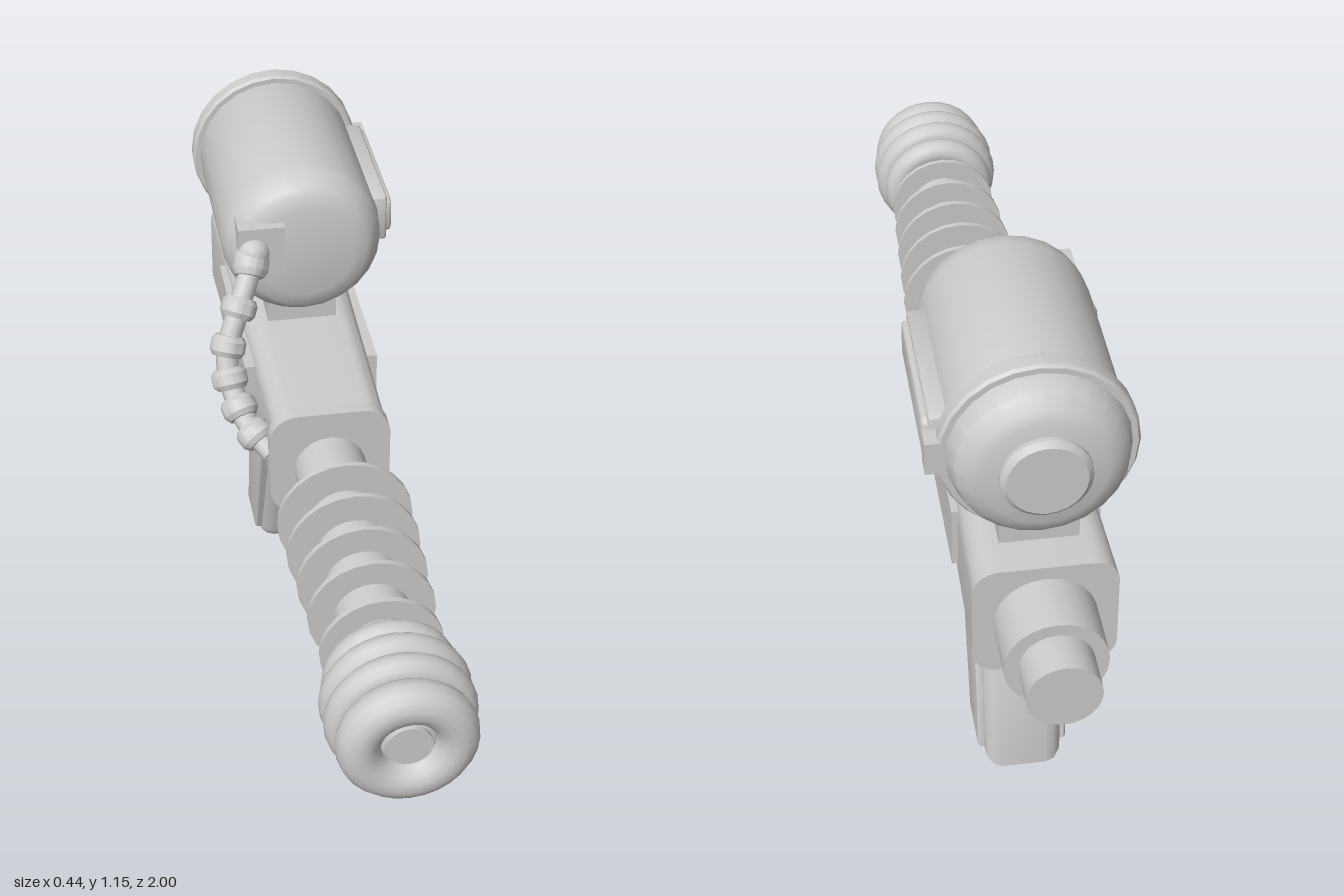
import * as THREE from 'three';
import { toCreasedNormals } from 'three/addons/utils/BufferGeometryUtils.js';

const metal = new THREE.MeshStandardMaterial({ color: 0xcccccc });
metal.name = 'light grey metal';

const V = (x, y, z) => new THREE.Vector3(x, y, z);

export function createModel() {
  const model = new THREE.Group();
  model.name = 'rayBlaster';
  const gun = new THREE.Group();
  gun.name = 'blaster';
  gun.position.x = 0.013;
  model.add(gun);

  function add(name, geo, x = 0, y = 0, z = 0) {
    const m = new THREE.Mesh(geo, metal);
    m.name = name;
    m.position.set(x, y, z);
    gun.add(m);
    return m;
  }
  // Turned part along z: profile of [radius, z] with z rising
  function turned(name, profile, y, seg = 24) {
    const g = new THREE.LatheGeometry(profile.map((p) => new THREE.Vector2(p[0], p[1])), seg);
    g.rotateX(Math.PI / 2);
    return add(name, toCreasedNormals(g, 0.5), 0, y, 0);
  }
  const disc = (name, r, z0, z1, y) => turned(name, [[0, z0], [r, z0], [r, z1], [0, z1]], y);
  const box = (name, w, h, d, x, y, z) => add(name, new THREE.BoxGeometry(w, h, d), x, y, z);

  // Rounded rectangle outline
  function roundedRect(w, h, r) {
    const s = new THREE.Shape();
    s.absarc(w - r, h - r, r, 0, Math.PI / 2);
    s.absarc(-w + r, h - r, r, Math.PI / 2, Math.PI);
    s.absarc(-w + r, -h + r, r, Math.PI, Math.PI * 1.5);
    s.absarc(w - r, -h + r, r, Math.PI * 1.5, Math.PI * 2);
    return s;
  }
  // Side outline given as [distance back, height], extruded across x
  function sidePlate(name, shape, width, bevel, x) {
    const g = new THREE.ExtrudeGeometry(shape, {
      depth: width - 2 * bevel, bevelEnabled: bevel > 0, bevelSize: bevel, bevelThickness: bevel,
      bevelOffset: -bevel, bevelSegments: 3, curveSegments: 6,
    });
    g.translate(0, 0, -(width - 2 * bevel) / 2);
    g.rotateY(Math.PI / 2);
    return add(name, toCreasedNormals(g, 0.6), x);
  }
  const outline = (pts) => new THREE.Shape(pts.map((p) => new THREE.Vector2(p[0], p[1])));

  // Receiver body, widening slightly toward the back
  const body = new THREE.ExtrudeGeometry(roundedRect(0.122, 0.116, 0.045), { depth: 0.89, bevelEnabled: false, curveSegments: 4 });
  const p = body.attributes.position;
  for (let i = 0; i < p.count; i++) {
    const t = 1 - p.getZ(i) / 0.89;
    p.setX(i, p.getX(i) * (1 + 0.15 * t));
    p.setY(i, p.getY(i) * (1 + 0.08 * t));
  }
  add('body', toCreasedNormals(body, 0.6), 0, 0.635, -0.79);
  const collar = new THREE.ExtrudeGeometry(roundedRect(0.13, 0.125, 0.06), { depth: 0.03, bevelEnabled: false, curveSegments: 4 });
  add('frontCollar', toCreasedNormals(collar, 0.6), 0, 0.628, 0.09);
  const chin = new THREE.ExtrudeGeometry(roundedRect(0.115, 0.06, 0.04), { depth: 0.105, bevelEnabled: false, curveSegments: 4 });
  add('frontChin', toCreasedNormals(chin, 0.6), 0, 0.555, 0.01);
  for (const s of [1, -1]) box('bodyPanel', 0.036, 0.135, 0.43, s * 0.13, 0.652, -0.345);

  // Stepped rear plug
  disc('rearPlug', 0.1, -0.915, -0.78, 0.633);
  disc('rearCap', 0.072, -1, -0.91, 0.635);

  // Barrel and cooling fins
  disc('barrel', 0.077, 0.08, 0.95, 0.615);
  [[0.3, 0.142], [0.4, 0.138], [0.5, 0.133], [0.6, 0.128], [0.705, 0.122]].forEach(([z, r]) =>
    disc('coolingFin', r, z - 0.006, z + 0.006, 0.615));

  // Ringed muzzle
  [[0.785, 0.132, 0.03], [0.84, 0.147, 0.031], [0.895, 0.147, 0.031], [0.957, 0.136, 0.043]].forEach(([z, r, t]) =>
    add('muzzleRing', new THREE.TorusGeometry(r - t, t, 14, 28), 0, 0.615, z));
  disc('muzzleSleeve', 0.11, 0.77, 0.94, 0.615);
  turned('nozzle', [[0.058, 0.93], [0.058, 0.962], [0.044, 0.968], [0.044, 0.978], [0, 0.978]], 0.615);

  // Tank on top
  turned('tank', [[0, -0.765], [0.115, -0.765], [0.14, -0.755], [0.163, -0.73], [0.175, -0.69], [0.176, -0.27],
    [0.17, -0.235], [0.15, -0.205], [0.137, -0.195], [0.107, -0.187], [0, -0.187]], 0.965);
  turned('tankBand', [[0.17, -0.692], [0.186, -0.692], [0.191, -0.685], [0.191, -0.655], [0.186, -0.648], [0.17, -0.648]], 0.965);
  turned('tankRearCap', [[0, -0.785], [0.076, -0.785], [0.087, -0.775], [0.087, -0.75]], 0.965);
  box('tankBandLatch', 0.04, 0.07, 0.044, 0.192, 0.965, -0.67);
  sidePlate('tankPlate', roundedRect(0.173, 0.056, 0.012), 0.05, 0.006, 0.173).position.set(0.173, 0.968, -0.47);
  sidePlate('tankPlateInset', roundedRect(0.165, 0.041, 0.018), 0.04, 0.007, 0).position.set(0.19, 0.968, -0.47);
  box('tankMount', 0.154, 0.1, 0.075, 0, 0.78, -0.29);
  box('tankMount', 0.154, 0.1, 0.075, 0, 0.78, -0.67);

  // Segmented hose from tank to body
  box('hoseBracket', 0.1, 0.11, 0.07, -0.1, 0.99, -0.202);
  const path = new THREE.CatmullRomCurve3([
    V(-0.118, 0.985, -0.185), V(-0.13, 0.95, -0.155), V(-0.163, 0.88, -0.11), V(-0.193, 0.8, -0.07),
    V(-0.188, 0.735, -0.03), V(-0.163, 0.68, 0.03), V(-0.12, 0.64, 0.085),
  ]);
  add('hoseCore', new THREE.TubeGeometry(path, 32, 0.024, 10));
  add('hoseElbow', new THREE.SphereGeometry(0.036, 14, 10), -0.118, 0.985, -0.175);
  const beads = [0.06, 0.27, 0.45, 0.6, 0.74, 0.88];
  beads.forEach((t, i) => {
    const h = i ? 0.046 : 0.06;
    const bead = add('hoseSegment', toCreasedNormals(new THREE.LatheGeometry([
      [0, -h / 2], [0.031, -h / 2], [0.039, -h / 4], [0.039, h / 4], [0.031, h / 2], [0, h / 2],
    ].map((q) => new THREE.Vector2(q[0], q[1])), 14), 0.5));
    bead.position.copy(path.getPointAt(t));
    bead.quaternion.setFromUnitVectors(V(0, 1, 0), path.getTangentAt(t));
  });

  // Raked grip with raised side panels and buttons
  const grip = new THREE.Shape();
  grip.moveTo(0.215, 0.54);
  grip.lineTo(0.3, 0.31);
  grip.lineTo(0.4, 0.035);
  grip.quadraticCurveTo(0.41, 0.003, 0.43, 0.003);
  grip.lineTo(0.58, 0.003);
  grip.quadraticCurveTo(0.57, 0.24, 0.45, 0.54);
  sidePlate('grip', grip, 0.165, 0.035, 0);
  const panel = outline([[0.252, 0.48], [0.295, 0.36], [0.42, 0.035], [0.545, 0.035], [0.525, 0.18], [0.475, 0.34], [0.415, 0.48]]);
  for (const s of [1, -1]) {
    sidePlate('gripPanel', panel, 0.03, 0.006, s * 0.08);
    box('gripButton', 0.02, 0.06, 0.09, s * 0.095, 0.42, -0.355);
  }

  // Trigger and its guard: capped bent rods
  function rod(name, pts, r) {
    for (let i = 0; i < pts.length - 1; i++) {
      const d = pts[i + 1].clone().sub(pts[i]);
      const seg = add(name, new THREE.CylinderGeometry(r, r, d.length(), 14));
      seg.position.copy(pts[i]).addScaledVector(d, 0.5);
      seg.quaternion.setFromUnitVectors(V(0, 1, 0), d.normalize());
      if (i) add(name + 'Joint', new THREE.SphereGeometry(r, 14, 10)).position.copy(pts[i]);
    }
  }
  rod('triggerGuard', [V(0, 0.48, -0.115), V(0, 0.345, -0.092), V(0, 0.252, -0.17), V(0, 0.248, -0.34)], 0.027);
  rod('trigger', [V(0, 0.45, -0.22), V(0, 0.27, -0.18)], 0.021);

  return model;
}
